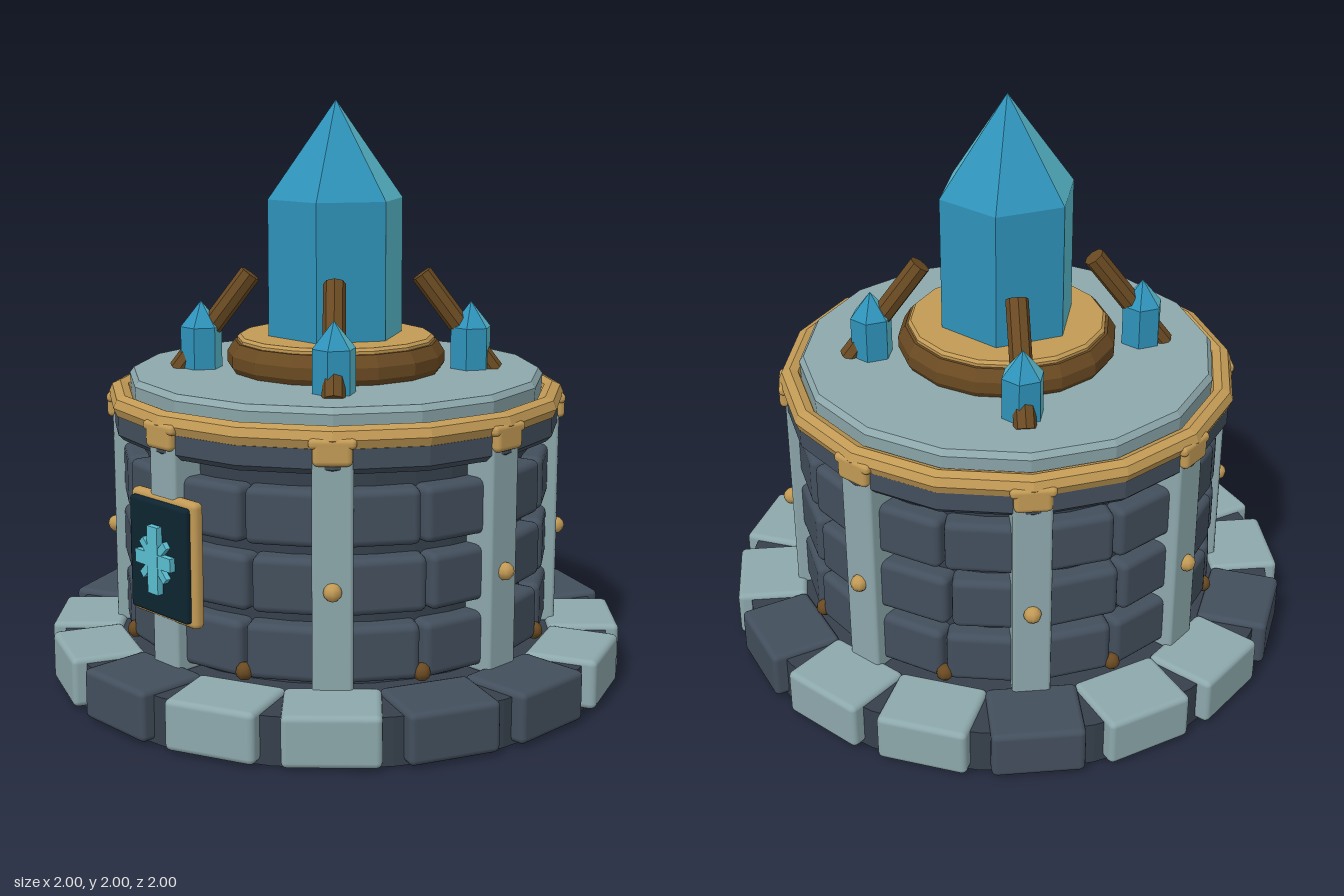
import * as THREE from 'three';
import { RoundedBoxGeometry } from 'three/addons/geometries/RoundedBoxGeometry.js';
import { mergeGeometries } from 'three/addons/utils/BufferGeometryUtils.js';

const mat = (name, color) => {
  const m = new THREE.MeshStandardMaterial({ color });
  m.name = name;
  return m;
};

export function createModel() {
  const slate = mat('slate', 0x434f5d);
  const mortar = mat('mortar', 0x36404c);
  const paleStone = mat('paleStone', 0x8da8ac);
  const gold = mat('gold', 0xc29a55);
  const wood = mat('wood', 0x6a4a22);
  const blue = mat('crystalBlue', 0x2f93bb);
  const cyan = mat('crystalCyan', 0x5bbfd3);
  const plateDark = mat('plateDark', 0x0d2531);

  const model = new THREE.Group();
  model.name = 'crystalPedestal';

  const add = (name, geometry, material, parent = model) => {
    const mesh = new THREE.Mesh(geometry, material);
    mesh.name = name;
    parent.add(mesh);
    return mesh;
  };
  const flat = (geometry) => {
    const g = geometry.index ? geometry.toNonIndexed() : geometry;
    g.computeVertexNormals();
    return g;
  };
  // Faceted solid of revolution, profile listed from the bottom up
  const turned = (profile, sides, start = 0, sweep = Math.PI * 2) =>
    flat(new THREE.LatheGeometry(profile.map(([x, y]) => new THREE.Vector2(x, y)), sides, start, sweep));
  // Places a mesh at an angle measured from the front, facing outwards
  const around = (mesh, angle, radius, y) => {
    mesh.position.set(Math.sin(angle) * radius, y, Math.cos(angle) * radius);
    mesh.rotation.y = angle;
    return mesh;
  };
  const step = Math.PI / 8;

  // Base: mortar disc with a ring of mixed stones
  add('baseCore', turned([[0, 0], [0.965, 0], [0.965, 0.16], [0, 0.16]], 32), mortar);
  const baseStone = new RoundedBoxGeometry(0.31, 0.17, 0.25, 2, 0.02);
  const darkStones = [0, 3, 4, 7, 10, 13];
  for (let i = 0; i < 16; i++) {
    around(add('baseStone', baseStone, darkStones.includes(i) ? slate : paleStone), i * step, 0.873, 0.094);
  }

  // Wall: core and three courses of bricks
  add('wallCore', turned([[0.68, 0.15], [0.68, 0.9]], 32), mortar);
  const brick = new RoundedBoxGeometry(0.275, 0.185, 0.13, 2, 0.025);
  for (let row = 0; row < 3; row++) {
    for (let i = 0; i < 16; i++) {
      const angle = (i + 0.5) * step + (row === 1 ? 0.03 : 0);
      around(add('wallBrick', brick, slate), angle, 0.675, 0.275 + row * 0.222);
    }
  }

  // Eight pillars with clips and studs, and small pegs between them
  const pillar = new RoundedBoxGeometry(0.13, 0.76, 0.12, 1, 0.012);
  const clip = new RoundedBoxGeometry(0.125, 0.085, 0.07, 2, 0.018);
  const clipHead = new RoundedBoxGeometry(0.15, 0.035, 0.06, 2, 0.015);
  const stud = new THREE.SphereGeometry(0.03, 8, 6);
  for (let i = 0; i < 8; i++) {
    const angle = i * step * 2;
    around(add('pillar', pillar, paleStone), angle, 0.72, 0.54);
    around(add('pillarClip', clip, gold), angle, 0.765, 0.943);
    around(add('pillarClipHead', clipHead, gold), angle, 0.77, 0.972);
    if (i > 0) around(add('pillarStud', stud, gold), angle, 0.785, 0.5);
    around(add('basePeg', stud, wood), angle + step, 0.74, 0.205);
  }

  // Rim band, gold ring and pale deck
  add('rimBand', turned([[0.66, 0.87], [0.765, 0.87], [0.785, 0.89], [0.785, 0.96], [0.7, 0.98]], 16), slate);
  const ring = add('goldRing', flat(new THREE.TorusGeometry(0.76, 0.04, 8, 16)), gold);
  ring.rotation.x = -Math.PI / 2;
  ring.position.y = 0.983;
  add('deck', turned([[0.72, 0.97], [0.725, 1.05], [0.71, 1.07], [0, 1.07]], 16), paleStone);

  // Crystal socket
  add('socket', turned([[0.36, 1.06], [0.38, 1.09], [0.38, 1.13], [0.355, 1.17], [0, 1.17]], 16), wood);
  add('socketTop', turned([[0.345, 1.165], [0.345, 1.18], [0.335, 1.19], [0, 1.19]], 16), gold);

  // Six-sided crystals, two opposite facets in the lighter colour
  const crystal = (name, r, bottom, shoulder, tip) => {
    const facets = [];
    for (let i = 0; i < 6; i++) {
      facets.push(turned([[r, bottom], [r, shoulder], [0, tip]], 1, (i - 0.5) * Math.PI / 3, Math.PI / 3));
    }
    return add(name, mergeGeometries(facets, true), [blue, blue, cyan, blue, blue, cyan]);
  };
  crystal('mainCrystal', 0.24, 1.18, 1.66, 1.995);

  // Four leaning prongs, each with a small crystal
  const up = new THREE.Vector3(0, 1, 0);
  for (const sx of [-1, 1]) {
    for (const sz of [-1, 1]) {
      crystal('smallCrystal', 0.073, 1.07, 1.215, 1.305).position.set(sx * 0.333, 0, sz * 0.333);
      const foot = new THREE.Vector3(sx * 0.39, 1.06, sz * 0.39);
      const head = new THREE.Vector3(sx * 0.21, 1.4, sz * 0.21);
      const lean = head.clone().sub(foot);
      const prong = add('prong', flat(new THREE.CylinderGeometry(0.038, 0.038, lean.length(), 8)), wood);
      prong.position.copy(foot).add(head).multiplyScalar(0.5);
      prong.quaternion.setFromUnitVectors(up, lean.normalize());
    }
  }

  // Front panel with a star emblem
  const panel = new THREE.Group();
  panel.name = 'frontPanel';
  panel.position.y = 0.54;
  model.add(panel);
  add('panelFrame', new RoundedBoxGeometry(0.33, 0.42, 0.045, 2, 0.02), gold, panel).position.z = 0.762;
  add('panelPlate', new RoundedBoxGeometry(0.29, 0.38, 0.04, 2, 0.012), plateDark, panel).position.z = 0.785;
  const rays = [[0.052, 0.225, 0], [0.045, 0.18, Math.PI / 2], [0.026, 0.17, Math.PI / 4], [0.026, 0.17, -Math.PI / 4]];
  rays.forEach(([w, h, turn], i) => {
    const ray = add('emblemRay', new THREE.BoxGeometry(w, h, 0.024), cyan, panel);
    ray.position.z = 0.814 - i * 0.001;
    ray.rotation.z = turn;
  });

  return model;
}
